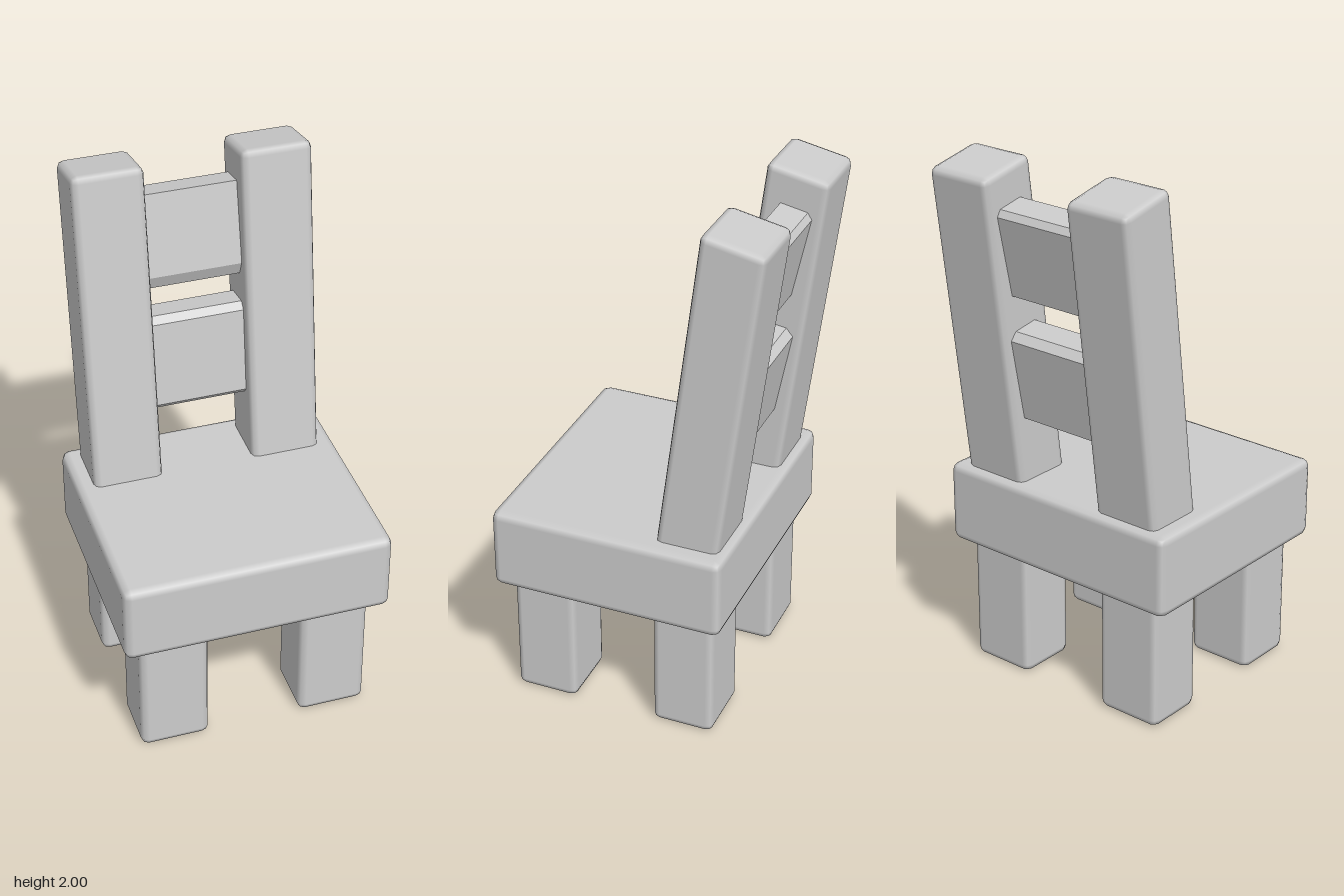
import * as THREE from 'three';
import { RoundedBoxGeometry } from 'three/addons/geometries/RoundedBoxGeometry.js';

export function createModel() {
  const chair = new THREE.Group();
  chair.name = 'chair';
  const grey = new THREE.MeshStandardMaterial({ color: 0xcccccc });
  grey.name = 'plain grey';

  function add(name, geometry, x, y, z) {
    const mesh = new THREE.Mesh(geometry, grey);
    mesh.name = name;
    mesh.position.set(x, y, z);
    chair.add(mesh);
  }

  // Box with a single narrow bevel
  const bevelBox = (w, h, d, r) => new RoundedBoxGeometry(w, h, d, 1, r);

  // Thick seat
  add('seat', bevelBox(1, 0.31, 0.88, 0.03), 0, 0.64, 0.06);

  // Leaning back posts: sheared backwards, with a sloping top
  const lean = new THREE.Matrix4().set(
    1, 0, 0, 0,
    0, 1, 0.2, 0,
    0, -0.13, 1, 0,
    0, 0, 0, 1
  );

  for (const [side, s] of [['left', 1], ['right', -1]]) {
    const x = s * 0.305;
    add(side + 'FrontLeg', bevelBox(0.26, 0.52, 0.24, 0.028), x, 0.26, 0.33);
    add(side + 'BackLeg', bevelBox(0.26, 0.52, 0.235, 0.028), x, 0.26, -0.215);
    add(side + 'BackPost', bevelBox(0.262, 1.28, 0.23, 0.026).applyMatrix4(lean), x, 1.343, -0.301);
  }

  // Back slats: [z, y] cross-sections extruded from post to post
  const slats = {
    upperSlat: [[-0.325, 1.865], [-0.262, 1.56], [-0.285, 1.505], [-0.375, 1.52], [-0.44, 1.82], [-0.425, 1.845]],
    lowerSlat: [[-0.262, 1.4], [-0.238, 1.375], [-0.2, 1.05], [-0.215, 1.03], [-0.325, 1.045], [-0.385, 1.355], [-0.36, 1.385]],
  };
  for (const [name, points] of Object.entries(slats)) {
    // Shape x becomes model z after turning; mirrored so it extrudes along x
    const shape = new THREE.Shape(points.map(([z, y]) => new THREE.Vector2(-z, y)));
    const geometry = new THREE.ExtrudeGeometry(shape, { depth: 0.42, bevelEnabled: false });
    geometry.translate(0, 0, -0.21).rotateY(Math.PI / 2);
    add(name, geometry, 0, 0, 0);
  }

  return chair;
}
